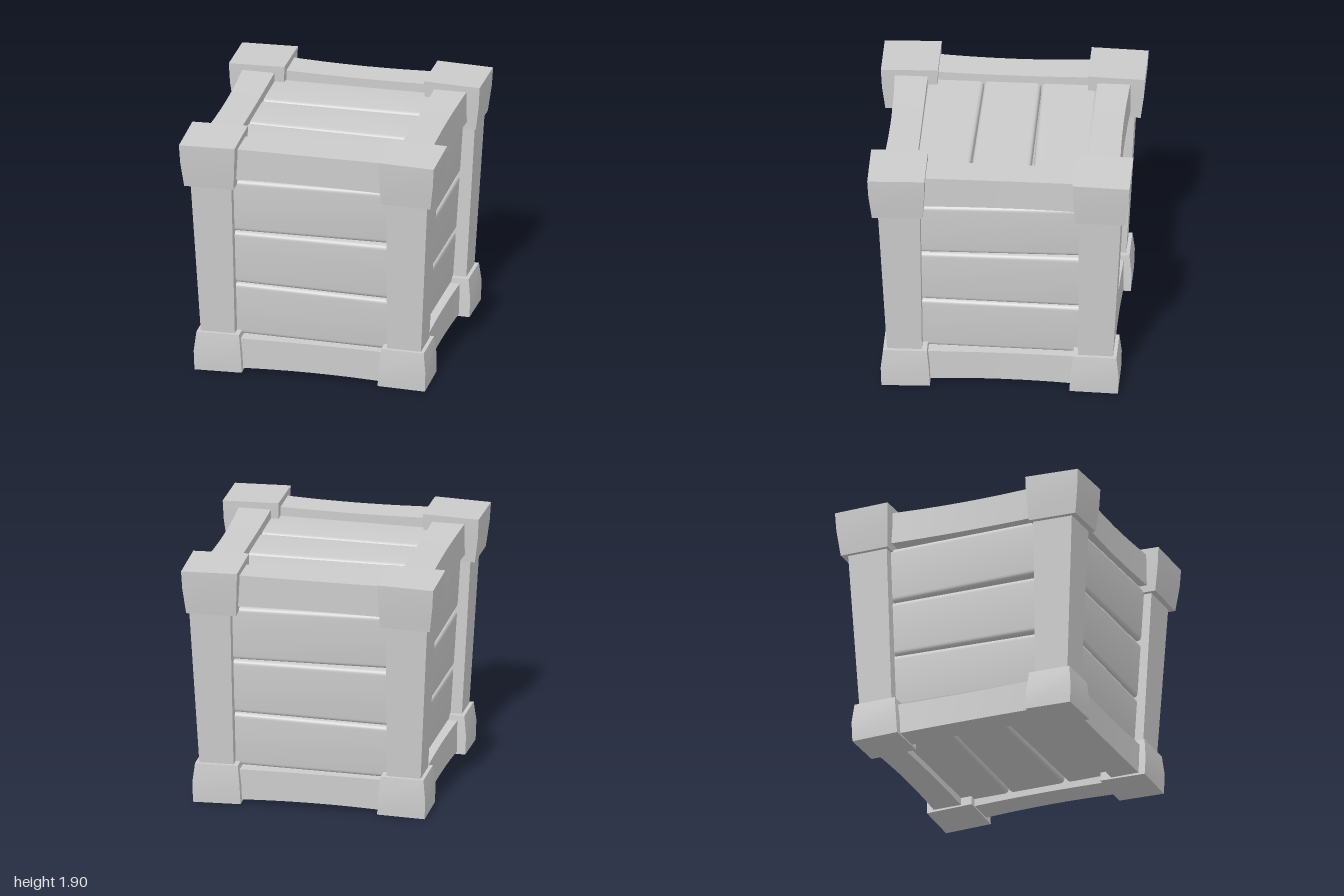
import * as THREE from 'three';
import { toCreasedNormals } from 'three/addons/utils/BufferGeometryUtils.js';

const material = new THREE.MeshStandardMaterial({ color: 0xcccccc });

// Move every vertex of a geometry by a rule, then keep hard edges sharp.
function bend(geometry, rule) {
  const pos = geometry.attributes.position;
  const v = new THREE.Vector3();
  for (let i = 0; i < pos.count; i++) {
    rule(v.fromBufferAttribute(pos, i));
    pos.setXYZ(i, v.x, v.y, v.z);
  }
  return toCreasedNormals(geometry, 0.45);
}

function part(name, geometry) {
  const mesh = new THREE.Mesh(geometry, material);
  mesh.name = name;
  return mesh;
}

// Corner block for the +x +z corner, from levels [y, inner, outer];
// tilt raises the inner edge of the matching end.
function block(levels, tiltBottom, tiltTop) {
  const n = levels.length - 1;
  const g = new THREE.BoxGeometry(1, 1, 1, 1, n, 1);
  return bend(g, (v) => {
    const k = Math.round((v.y + 0.5) * n);
    const [y, inner, outer] = levels[k];
    const inward = (v.x < 0 ? 0.5 : 0) + (v.z < 0 ? 0.5 : 0);
    const tilt = k === 0 ? tiltBottom : k === n ? tiltTop : 0;
    v.set(v.x < 0 ? inner : outer, y + tilt * inward, v.z < 0 ? inner : outer);
  });
}

// Rail on the +z side, hollowed along its outer face and its outer edge.
function rail(y0, y1, z0, z1, sagFace, sagTop, sagBottom) {
  const g = new THREE.BoxGeometry(1.3, 1, 1, 8, 1, 1);
  return bend(g, (v) => {
    const sag = 1 - (v.x / 0.65) ** 2;
    v.y = v.y > 0 ? y1 - sagTop * sag : y0 + sagBottom * sag;
    v.z = v.z > 0 ? z1 - sagFace * sag : z0;
  });
}

// Plank along x with rounded long edges; its lower and upper edges
// run from a left height to a right height. Its outer face is at z = 0.
function plank([lowL, lowR], [highL, highR]) {
  const L = 0.7, t = 0.1, r = 0.035;
  const s = new THREE.Shape();
  s.moveTo(-0.5, -t);
  s.lineTo(0.5, -t);
  s.lineTo(0.5, -r);
  s.quadraticCurveTo(0.5, 0, 0.5 - r * 2.4, 0);
  s.lineTo(-0.5 + r * 2.4, 0);
  s.quadraticCurveTo(-0.5, 0, -0.5, -r);
  const g = new THREE.ExtrudeGeometry(s, { depth: 2 * L, bevelEnabled: false, curveSegments: 5 });
  return bend(g, (v) => {
    const x = v.z - L;
    const f = (x / 0.6 + 1) / 2;
    const low = THREE.MathUtils.lerp(lowL, lowR, f);
    const high = THREE.MathUtils.lerp(highL, highR, f);
    v.set(x, THREE.MathUtils.lerp(low, high, v.x + 0.5), v.y);
  });
}

export function createModel() {
  const crate = new THREE.Group();
  crate.name = 'crate';

  const planks = [
    plank([0.215, 0.232], [0.642, 0.66]),
    plank([-0.22, -0.238], [0.208, 0.208]),
    plank([-0.65, -0.665], [-0.224, -0.25]),
  ];
  const panel = (name) => {
    const g = new THREE.Group();
    g.name = name;
    planks.forEach((p, i) => g.add(part('plank' + (i + 1), p)));
    return g;
  };

  // Four sides, each set in a little: plank panel, top rail and bottom rail
  const topRail = rail(1.6, 1.852, 0.645, 0.9, 0.02, 0.01, 0);
  const bottomRail = rail(0.027, 0.272, 0.62, 0.85, 0.016, 0, 0.013);
  const sides = [['front', 0], ['left', 0.03], ['back', 0.005], ['right', 0.015]];
  sides.forEach(([side, inset], i) => {
    const group = new THREE.Group();
    group.name = side + 'Side';
    group.rotation.y = (i * Math.PI) / 2;
    group.translateZ(-inset);
    const wall = panel(side + 'Panel');
    wall.position.set(0, 0.93, 0.82);
    wall.rotation.x = 0.06;
    group.add(wall, part('topRail', topRail), part('bottomRail', bottomRail));
    crate.add(group);
  });

  // Lid and floor planks
  const lid = panel('lidPanel');
  lid.position.y = 1.78;
  lid.rotation.x = -Math.PI / 2;
  const floor = panel('floorPanel');
  floor.position.y = 0.09;
  floor.rotation.x = Math.PI / 2;
  crate.add(lid, floor);

  // Four corners: post, top cap and foot, each cap nudged a little
  const post = block([[0.2, 0.59, 0.85], [1.65, 0.603, 0.925]], 0, 0);
  const cap = block([[1.538, 0.572, 0.955], [1.74, 0.56, 0.98], [1.883, 0.556, 0.988]], 0.012, 0.024);
  const foot = block([[0.003, 0.528, 0.895], [0.16, 0.535, 0.9], [0.31, 0.552, 0.883]], 0.018, 0.008);
  const nudges = [[0, 0.008], [-0.02, 0], [0.004, -0.012], [-0.003, 0.011]];
  nudges.forEach(([dx, dz], i) => {
    const corner = new THREE.Group();
    corner.name = 'corner' + (i + 1);
    corner.rotation.y = (i * Math.PI) / 2;
    const top = part('topCap', cap);
    // The nudge is given in model axes, so turn it into the corner's own
    top.position.set(dx, 0, dz).applyAxisAngle(new THREE.Vector3(0, 1, 0), -corner.rotation.y);
    corner.add(part('post', post), top, part('foot', foot));
    crate.add(corner);
  });

  return crate;
}
